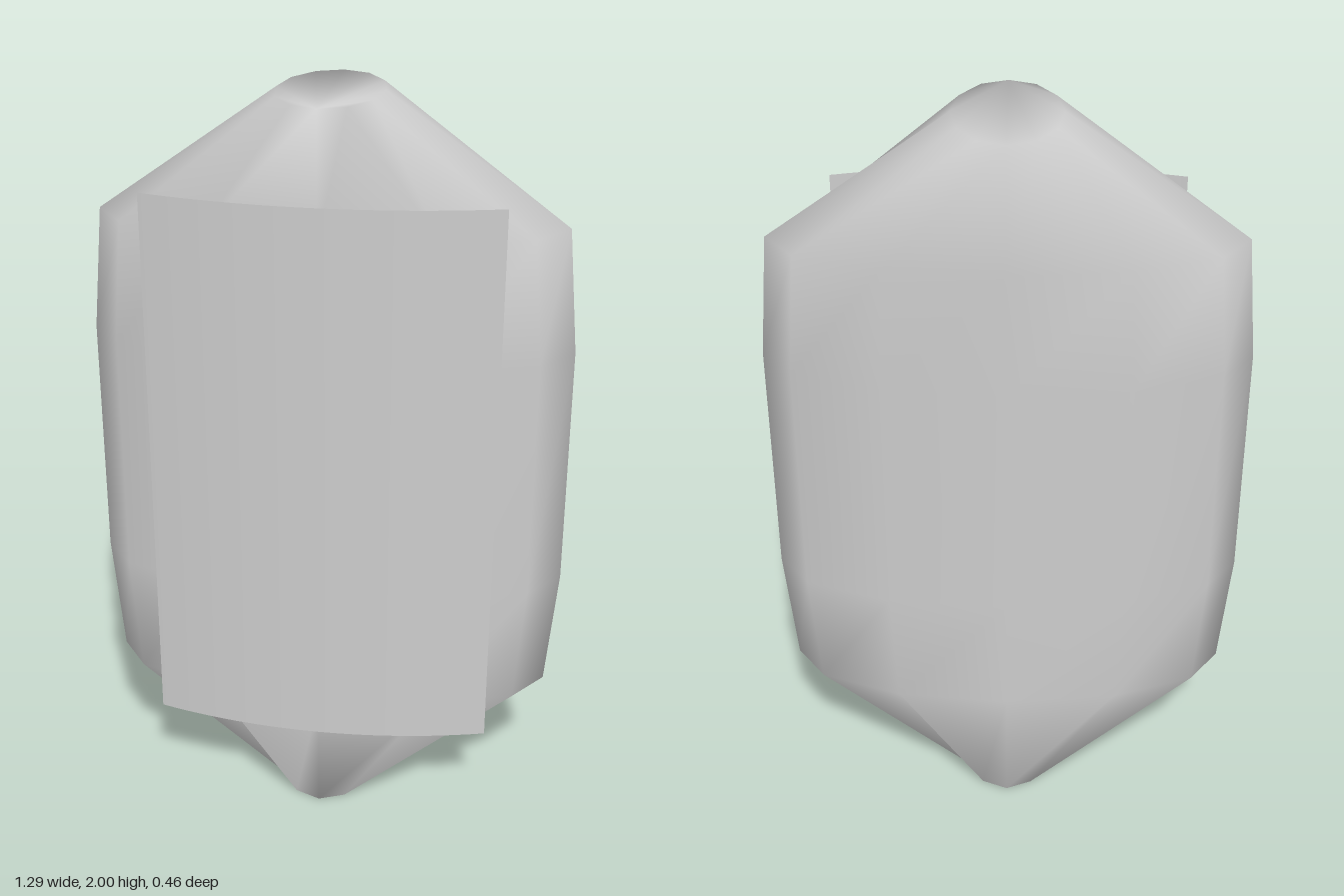
import * as THREE from 'three';

const SIDES = 12;
const DEPTH = 0.224, BODY_Z = -0.007;
// height and half width of each cross-section; the depth stays constant
const RINGS = [[0, 0.14], [0.333, 0.615], [0.667, 0.645], [1.333, 0.645], [1.667, 0.615], [2, 0.14]];

// Faceted pod with shared (smooth) normals, lofted through elliptical rings
function podGeometry() {
  const positions = [], index = [];
  for (const [y, halfWidth] of RINGS) {
    for (let i = 0; i < SIDES; i++) {
      const a = (i / SIDES) * Math.PI * 2;
      positions.push(Math.sin(a) * halfWidth, y, BODY_Z + Math.cos(a) * DEPTH);
    }
  }
  const top = (RINGS.length - 1) * SIDES;
  for (let j = 0; j < RINGS.length - 1; j++) {
    for (let i = 0; i < SIDES; i++) {
      const n = (i + 1) % SIDES;
      const a = j * SIDES + i, b = j * SIDES + n, c = b + SIDES, d = a + SIDES;
      index.push(a, b, c, a, c, d);
    }
  }
  // end caps
  for (let i = 1; i < SIDES - 1; i++) {
    index.push(0, i + 1, i);
    index.push(top, top + i, top + i + 1);
  }
  const g = new THREE.BufferGeometry();
  g.setAttribute('position', new THREE.Float32BufferAttribute(positions, 3));
  g.setIndex(index);
  g.computeVertexNormals();
  return g;
}

export function createModel() {
  const model = new THREE.Group();
  model.name = 'pod';

  const grey = new THREE.MeshStandardMaterial({ color: 0xcccccc, side: THREE.DoubleSide });
  grey.name = 'light grey';

  const body = new THREE.Mesh(podGeometry(), grey);
  body.name = 'body';
  model.add(body);

  // Curved sheet standing just off the front of the body
  const halfWidth = 0.463, sag = 0.065, frontZ = 0.232;
  const radius = (halfWidth ** 2 + sag ** 2) / (2 * sag);
  const half = Math.asin(halfWidth / radius);
  const panel = new THREE.Mesh(
    new THREE.CylinderGeometry(radius, radius, 1.52, 24, 1, true, -half, half * 2), grey);
  panel.name = 'frontPanel';
  panel.position.set(0, 1.002, frontZ - radius);
  model.add(panel);

  return model;
}
